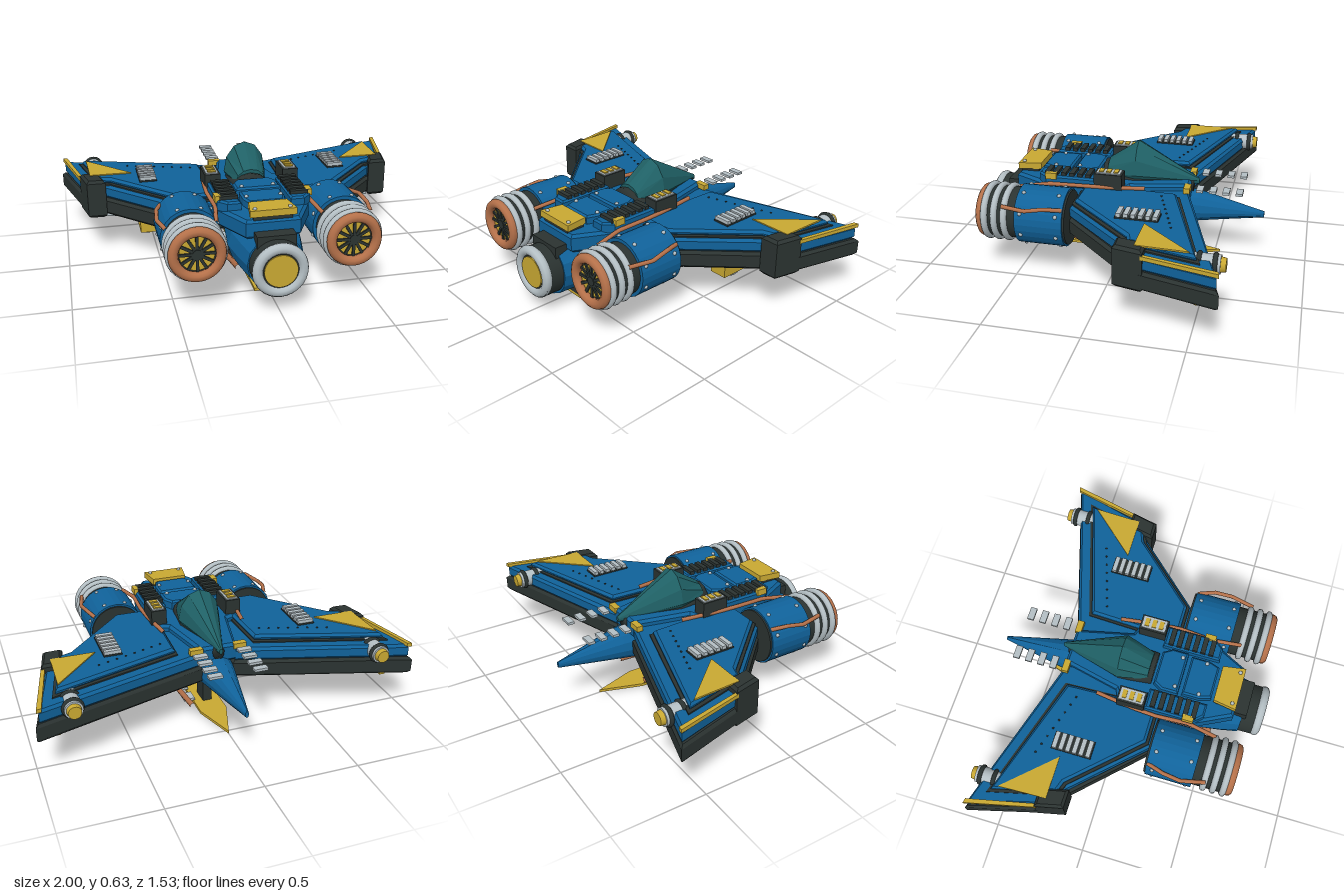
import * as THREE from 'three';

const mat = (name, color, extra = {}) => {
  const m = new THREE.MeshStandardMaterial({ color, ...extra });
  m.name = name;
  return m;
};

export function createModel() {
  const blue = mat('hull blue', 0x10629a, { flatShading: true });
  const dark = mat('dark metal', 0x2b3331);
  const yellow = mat('yellow', 0xc9a832);
  const silver = mat('silver', 0xb4bfc4);
  const copper = mat('copper', 0xb5714a);
  const teal = mat('canopy teal', 0x1f6065, { flatShading: true });
  const grey = mat('underside grey', 0x4a4c58);

  const model = new THREE.Group();
  model.name = 'fighterCraft';
  const add = (name, geo, m, parent = model) => {
    const mesh = new THREE.Mesh(geo, m);
    mesh.name = name;
    parent.add(mesh);
    return mesh;
  };
  const V = (x, y, z) => new THREE.Vector3(x, y, z);

  // Box given by centre and size
  const box = (name, m, x, y, z, w, h, d) =>
    add(name, new THREE.BoxGeometry(w, h, d).translate(x, y, z), m);

  // Horizontal plate from an [x, z] outline, optionally with bevelled edges
  const plate = (name, m, pts, y0, y1, bevel = 0, s = 1) => {
    const shape = new THREE.Shape(pts.map(([x, z]) => new THREE.Vector2(x * s, -z)));
    const geo = new THREE.ExtrudeGeometry(shape, {
      depth: y1 - y0 - 2 * bevel, bevelEnabled: bevel > 0, bevelThickness: bevel,
      bevelSize: bevel, bevelOffset: -bevel, bevelSegments: 1,
    });
    return add(name, geo.rotateX(-Math.PI / 2).translate(0, y0 + bevel, 0), m);
  };

  // Cylinder along z
  const drum = (name, m, x, y, z0, z1, r0, r1 = r0, sides = 28) =>
    add(name, new THREE.CylinderGeometry(r1, r0, z1 - z0, sides).rotateX(Math.PI / 2)
      .translate(x, y, (z0 + z1) / 2), m);
  const ring = (name, m, x, y, z, R, t) =>
    add(name, new THREE.TorusGeometry(R, t, 10, 32).translate(x, y, z), m);

  // Straight-segment pipe through points
  const pipe = (name, m, pts, r) => {
    const path = new THREE.CurvePath();
    for (let i = 1; i < pts.length; i++) path.add(new THREE.LineCurve3(V(...pts[i - 1]), V(...pts[i])));
    return add(name, new THREE.TubeGeometry(path, 24, r, 8), m);
  };

  // Loft through rings [z, centreY, halfWidth, up, down]
  const loft = (name, m, rings, n) => {
    const pos = [], idx = [];
    for (const [z, cy, w, up, down] of rings)
      for (let j = 0; j < n; j++) {
        const a = (j / n) * Math.PI * 2, s = Math.sin(a);
        pos.push(w * Math.cos(a), cy + s * (s > 0 ? up : down), z);
      }
    for (let i = 0; i < rings.length - 1; i++)
      for (let j = 0; j < n; j++) {
        const k = (j + 1) % n, a = i * n + j, b = i * n + k;
        idx.push(a, b, a + n, b, b + n, a + n);
      }
    const last = (rings.length - 1) * n;
    for (let j = 1; j < n - 1; j++) idx.push(0, j + 1, j, last, last + j, last + j + 1);
    const geo = new THREE.BufferGeometry();
    geo.setAttribute('position', new THREE.Float32BufferAttribute(pos, 3));
    geo.setIndex(idx);
    geo.computeVertexNormals();
    return add(name, geo, m);
  };

  // Fuselage and canopy
  loft('fuselage', blue, [
    [-0.76, 0.265, 0.01, 0.015, 0.02], [-0.4, 0.27, 0.085, 0.1, 0.075],
    [0, 0.26, 0.15, 0.16, 0.12], [0.42, 0.24, 0.195, 0.16, 0.145],
    [0.55, 0.23, 0.17, 0.16, 0.15], [0.65, 0.225, 0.145, 0.15, 0.155],
  ], 14);
  loft('canopyBase', dark, [
    [-0.37, 0.41, 0.03, 0.03, 0.05], [-0.06, 0.42, 0.12, 0.06, 0.08], [0.125, 0.43, 0.095, 0.08, 0.08],
  ], 12);
  loft('canopy', teal, [
    [-0.4, 0.43, 0.01, 0.012, 0.02], [-0.06, 0.47, 0.117, 0.165, 0.06], [0.1, 0.46, 0.08, 0.065, 0.05],
  ], 12);

  // Central deck
  plate('centreBody', blue, [[-0.1, -0.36], [0.1, -0.36], [0.17, -0.05], [0.24, -0.02], [0.24, 0.4],
    [0.14, 0.6], [-0.14, 0.6], [-0.24, 0.4], [-0.24, -0.02], [-0.17, -0.05]], 0.34, 0.44, 0.015);
  plate('deckFront', blue, [[-0.09, 0.14], [0.09, 0.14], [0.12, 0.19], [0.12, 0.28], [-0.12, 0.28], [-0.12, 0.19]], 0.42, 0.49, 0.01);
  plate('deckRear', blue, [[-0.11, 0.3], [0.11, 0.3], [0.11, 0.4], [0.09, 0.46], [-0.09, 0.46], [-0.11, 0.4]], 0.42, 0.485, 0.01);
  plate('rearHatch', yellow, [[-0.1, 0.475], [0.1, 0.475], [0.12, 0.6], [-0.12, 0.6]], 0.455, 0.49);
  box('hatchSupport', dark, 0, 0.42, 0.54, 0.2, 0.08, 0.1);

  // Centre thruster
  drum('centreThruster', dark, 0, 0.225, 0.6, 0.75, 0.137);
  box('thrusterHood', dark, 0, 0.34, 0.63, 0.2, 0.08, 0.08);
  ring('centreThrusterRing', silver, 0, 0.23, 0.74, 0.115, 0.027);
  drum('centreGlow', yellow, 0, 0.23, 0.74, 0.757, 0.085);

  // Ventral keel
  plate('keelBlade', yellow, [[-0.075, 0.51], [0.075, 0.51], [0.075, -0.3], [0, -0.53], [-0.075, -0.3]], 0.005, 0.02);
  box('keelSkid', dark, 0, 0.05, 0.3, 0.1, 0.06, 0.42);
  box('keelStrut', dark, 0, 0.09, -0.15, 0.05, 0.14, 0.1);
  box('rearKeelStrut', dark, 0, 0.09, 0.3, 0.06, 0.08, 0.2);

  const wing = [[0.085, -0.36], [1, -0.635], [0.87, -0.13], [0.77, -0.13], [0.43, 0.22], [0.1, 0.22]];
  const skin = [[0.095, -0.355], [0.98, -0.62], [0.86, -0.15], [0.77, -0.15], [0.425, 0.215], [0.11, 0.215]];
  const raised = [[0.22, -0.31], [0.88, -0.515], [0.8, -0.18], [0.74, -0.16], [0.41, 0.19], [0.2, 0.19]];
  const seam = [[0.21, -0.325], [0.9, -0.535], [0.812, -0.17], [0.745, -0.145], [0.415, 0.205], [0.19, 0.205]];
  const under = [[0.2, -0.34], [0.92, -0.56], [0.82, -0.19], [0.73, -0.17], [0.4, 0.16], [0.2, 0.16]];

  for (const s of [1, -1]) {
    // Wing layers
    plate('wingEdge', dark, wing, 0.238, 0.335, 0.015, s);
    plate('wingSkin', blue, skin, 0.33, 0.405, 0.015, s);
    plate('wingSeam', dark, seam, 0.4, 0.412, 0, s);
    plate('wingPanel', blue, raised, 0.405, 0.44, 0.014, s);
    plate('wingUnderside', grey, under, 0.23, 0.239, 0, s);
    plate('wingMarking', yellow, [[0.86, -0.48], [0.62, -0.22], [0.85, -0.22]], 0.438, 0.446, 0, s);
    plate('wingTipStrip', yellow, [[0.965, -0.625], [0.99, -0.63], [0.905, -0.26], [0.885, -0.26]], 0.4, 0.42, 0, s);
    plate('wingTipBlock', dark, [[0.8, -0.27], [0.905, -0.27], [0.872, -0.12], [0.77, -0.12]], 0.225, 0.443, 0.015, s);
    for (let i = 0; i < 6; i++) box('wingGrate', silver, s * 0.54, 0.455, -0.265 + i * 0.037, 0.09, 0.022, 0.024);
    box('wingGrateBase', dark, s * 0.54, 0.442, -0.172, 0.096, 0.012, 0.22);
    for (let i = 0; i < 8; i++)
      add('seamRivet', new THREE.SphereGeometry(0.006, 6, 4).translate(s * (0.28 + i * 0.05), 0.44, -0.24 - i * 0.016), dark);

    // Wing tip gun
    const gx = s * 0.815;
    drum('gunBarrel', silver, gx, 0.375, -0.62, -0.46, 0.046, 0.046, 20);
    drum('gunCap', yellow, gx, 0.375, -0.645, -0.62, 0.033, 0.037, 20);
    for (const z of [-0.595, -0.52]) ring('gunBand', dark, gx, 0.375, z, 0.044, 0.012);

    // Under-wing pod with bracing rods
    box('underPod', yellow, s * 0.545, 0.175, -0.175, 0.1, 0.065, 0.245);
    add('podDome', new THREE.SphereGeometry(0.04, 16, 10).scale(0.9, 1, 1.5).translate(s * 0.545, 0.14, -0.16), silver);
    for (const [x, z] of [[0.88, -0.52], [0.22, -0.32], [0.41, 0.16], [0.79, -0.2], [0.22, 0.1]])
      pipe('wingBrace', silver, [[s * 0.545, 0.21, -0.17], [s * x, 0.212, z]], 0.011);
    box('braceTip', yellow, s * 0.89, 0.21, -0.525, 0.03, 0.02, 0.025);

    // Side engine
    const ex = s * 0.395, ey = 0.325;
    drum('engineCowl', blue, ex, ey, 0.225, 0.48, 0.155);
    drum('engineIntake', dark, ex, ey, 0.215, 0.226, 0.145);
    drum('engineCore', dark, ex, ey, 0.47, 0.66, 0.137);
    for (const z of [0.543, 0.597, 0.65]) ring('engineRing', silver, ex, ey, z, 0.138, 0.018);
    ring('engineLip', copper, ex, ey, 0.675, 0.118, 0.026);
    drum('engineFan', yellow, ex, ey, 0.66, 0.668, 0.088);
    for (let i = 0; i < 6; i++)
      add('fanSpoke', new THREE.BoxGeometry(0.19, 0.015, 0.008).rotateZ((i * Math.PI) / 6).translate(ex, ey, 0.672), dark);
    drum('fanHub', dark, ex, ey, 0.668, 0.68, 0.024);
    for (let i = 0; i < 8; i++)
      for (const z of [0.26, 0.45]) {
        const a = (i + 0.5) * Math.PI / 4;
        add('cowlBolt', new THREE.SphereGeometry(0.011, 8, 6)
          .translate(ex + 0.153 * Math.cos(a), ey + 0.153 * Math.sin(a), z), silver);
      }

    // Copper plumbing
    pipe('outerPipe', copper, [[s * 0.515, 0.415, 0.23], [s * 0.545, 0.425, 0.32], [s * 0.555, 0.41, 0.42], [s * 0.525, 0.41, 0.55]], 0.011);
    pipe('innerPipe', copper, [[s * 0.225, 0.45, -0.14], [s * 0.255, 0.45, 0.08], [s * 0.262, 0.45, 0.2], [s * 0.25, 0.44, 0.38], [s * 0.275, 0.42, 0.54]], 0.011);
    pipe('bellyPipe', copper, [[s * 0.16, 0.15, 0.51], [s * 0.15, 0.05, 0.12], [s * 0.13, 0.085, -0.33]], 0.015);
    box('pipeBracket', dark, s * 0.14, 0.06, 0.13, 0.05, 0.06, 0.07);

    // Shoulder details
    plate('shoulder', blue, [[0.13, 0.13], [0.245, 0.13], [0.245, 0.4], [0.2, 0.45], [0.13, 0.45]], 0.42, 0.485, 0.01, s);
    for (let i = 0; i < 6; i++) box('shoulderVent', dark, s * 0.185, 0.49, 0.17 + i * 0.045, 0.095, 0.025, 0.027);
    box('lampHousing', dark, s * 0.215, 0.48, 0.055, 0.085, 0.085, 0.15);
    box('lampFrame', silver, s * 0.215, 0.524, 0.055, 0.066, 0.008, 0.13);
    for (const z of [0.015, 0.055, 0.095]) box('lamp', yellow, s * 0.215, 0.53, z, 0.045, 0.008, 0.024);
    box('shoulderLatch', yellow, s * 0.24, 0.485, 0.37, 0.03, 0.035, 0.06);
    box('rootLatch', yellow, s * 0.12, 0.425, -0.35, 0.07, 0.03, 0.035);
    for (let i = 0; i < 4; i++) box('noseFin', silver, s * 0.12, 0.43, -0.63 + i * 0.07, 0.072, 0.014, 0.036);
    for (const z of [-0.035, -0.155]) box('keelPlate', silver, s * 0.1, 0.035, z, 0.06, 0.014, 0.07);
    for (const [x, y, z] of [[0.085, 0.49, 0.255], [0.09, 0.485, 0.39], [0.09, 0.49, 0.575]])
      add('deckBolt', new THREE.SphereGeometry(0.011, 8, 6).translate(s * x, y, z), silver);
  }
  return model;
}
